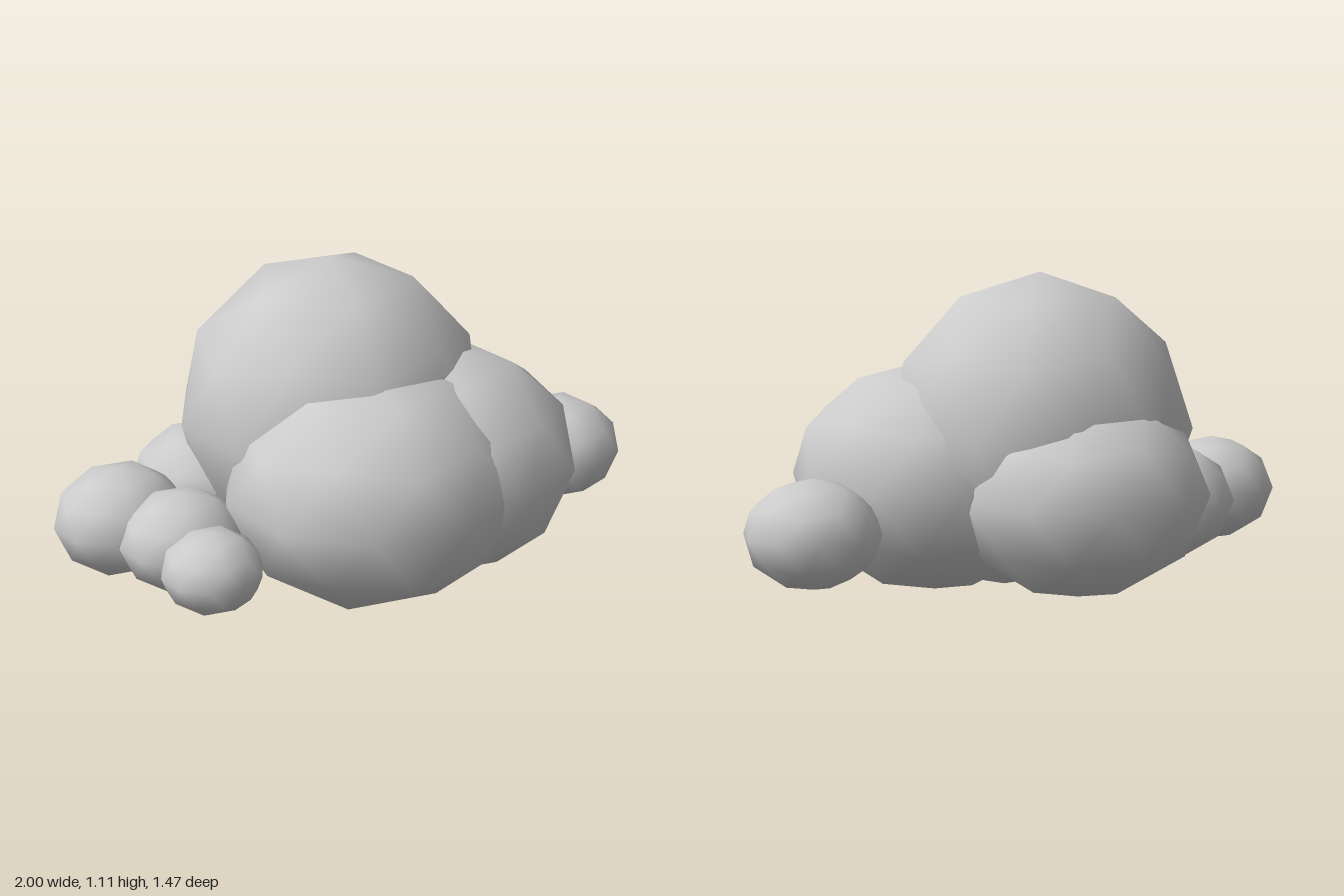
import * as THREE from 'three';

// Cloud made of overlapping, flattened low-poly puffs with smooth normals.
// name, centre [x, y, z], radii [x, y, z]
const PUFFS = [
  ['crownPuff', [-0.03, 0.58, -0.075], [0.54, 0.53, 0.51]],
  ['frontLeftPuff', [0.2, 0.415, 0.205], [0.49, 0.4, 0.488]],
  ['frontRightPuff', [-0.11, 0.42, 0.24], [0.51, 0.41, 0.492]],
  ['backPuff', [0.04, 0.385, -0.3], [0.442, 0.352, 0.44]],
  ['corePuff', [-0.07, 0.4, 0.12], [0.42, 0.4, 0.42]],
  ['backRightPuff', [-0.4, 0.305, -0.315], [0.26, 0.21, 0.255]],
  ['outerBackPuff', [-0.78, 0.295, -0.265], [0.23, 0.187, 0.217]],
  ['outerMiddlePuff', [-0.7, 0.287, -0.02], [0.213, 0.17, 0.2]],
  ['outerFrontPuff', [-0.73, 0.267, 0.195], [0.17, 0.139, 0.17]],
  ['leftPuff', [0.78, 0.292, 0.205], [0.23, 0.183, 0.226]],
];

export function createModel() {
  const cloud = new THREE.Group();
  cloud.name = 'cloud';
  const material = new THREE.MeshStandardMaterial({ color: 0xcccccc });

  // Unit puff: an icosphere turned so that one corner points straight up
  const puff = new THREE.IcosahedronGeometry(1, 1);
  puff.rotateZ(Math.atan(2 / (1 + Math.sqrt(5))));

  for (const [name, centre, radii] of PUFFS) {
    const mesh = new THREE.Mesh(puff, material);
    mesh.name = name;
    mesh.position.set(...centre);
    mesh.scale.set(...radii);
    cloud.add(mesh);
  }
  return cloud;
}
